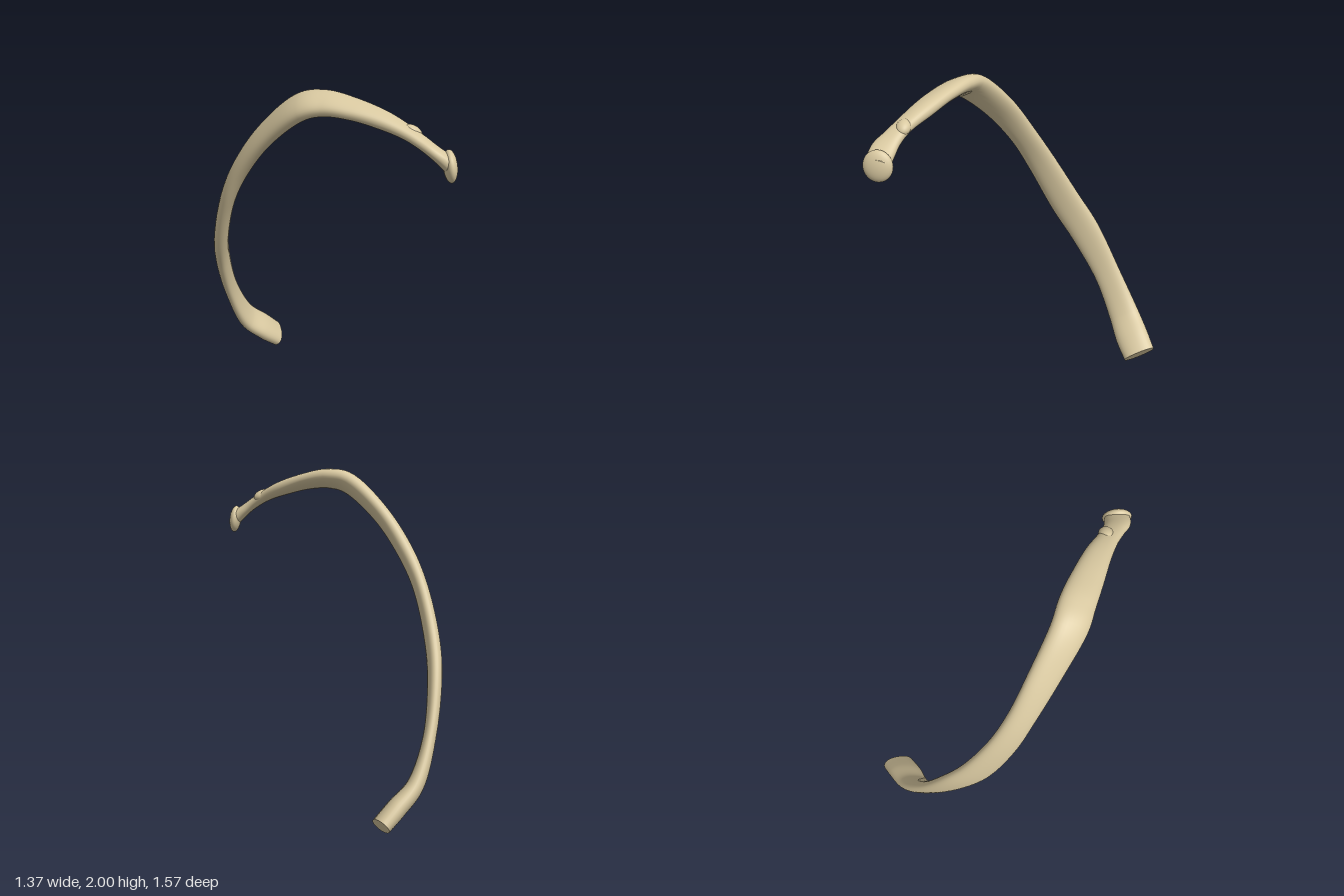
import * as THREE from 'three';

// Stations along the bone: x, y, z, half width, half thickness, rise of the width direction
const STATIONS = [
  [-0.335, 0.057, -0.69, 0.105, 0.055, 0.2],
  [-0.42, 0.14, -0.632, 0.11, 0.058, 0.3],
  [-0.525, 0.25, -0.565, 0.102, 0.05, 0.4],
  [-0.61, 0.5, -0.437, 0.09, 0.038, 0.48],
  [-0.645, 0.8, -0.268, 0.103, 0.043, 0.48],
  [-0.635, 1.0, -0.14, 0.104, 0.045, 0.48],
  [-0.568, 1.3, 0.018, 0.092, 0.044, 0.48],
  [-0.475, 1.51, 0.122, 0.085, 0.048, 0.48],
  [-0.32, 1.735, 0.245, 0.095, 0.05, 0.45],
  [-0.12, 1.913, 0.375, 0.105, 0.056, 0.4],
  [0, 1.938, 0.42, 0.102, 0.052, 0.35],
  [0.15, 1.92, 0.485, 0.09, 0.046, 0.3],
  [0.3, 1.878, 0.552, 0.075, 0.044, 0.25],
  [0.42, 1.828, 0.618, 0.06, 0.036, 0.2],
  [0.5, 1.782, 0.662, 0.062, 0.034, 0.1],
  [0.57, 1.733, 0.695, 0.074, 0.036, 0],
  [0.645, 1.675, 0.707, 0.07, 0.045, 0],
];
const RINGS = 128, SIDES = 32;

// Rounded cross-sections swept along the curve
function sectionRings() {
  const path = new THREE.CatmullRomCurve3(STATIONS.map(s => new THREE.Vector3(s[0], s[1], s[2])));
  const size = new THREE.CatmullRomCurve3(STATIONS.map(s => new THREE.Vector3(s[3], s[4], s[5])), false, 'catmullrom');
  const rings = [];
  for (let i = 0; i <= RINGS; i++) {
    const u = i / RINGS;
    const c = path.getPoint(u), t = path.getTangent(u), r = size.getPoint(u);
    const w = new THREE.Vector3(0, r.z, -1);
    w.addScaledVector(t, -w.dot(t)).normalize();
    const n = new THREE.Vector3().crossVectors(t, w);
    const ring = [];
    for (let j = 0; j < SIDES; j++) {
      const a = j / SIDES * Math.PI * 2, ca = Math.cos(a), sa = Math.sin(a);
      const p = c.clone()
        .addScaledVector(w, r.x * Math.sign(ca) * Math.abs(ca) ** 0.9)
        .addScaledVector(n, r.y * Math.sign(sa) * Math.abs(sa) ** 0.9);
      ring.push(p);
    }
    rings.push(ring);
  }
  return rings;
}

function build(points, index) {
  const g = new THREE.BufferGeometry().setFromPoints(points);
  g.setIndex(index);
  g.computeVertexNormals();
  return g;
}

export function createModel() {
  const group = new THREE.Group();
  group.name = 'ribBone';
  const bone = new THREE.MeshStandardMaterial({ color: 0xd8c8a0 });
  bone.name = 'bone';
  const add = (name, geometry) => {
    const mesh = new THREE.Mesh(geometry, bone);
    mesh.name = name;
    group.add(mesh);
    return mesh;
  };

  // Curved shaft and neck
  const rings = sectionRings(), index = [];
  for (let i = 0; i < RINGS; i++) {
    for (let j = 0; j < SIDES; j++) {
      const k = (j + 1) % SIDES;
      const a = i * SIDES + j, b = i * SIDES + k;
      index.push(a, b, a + SIDES, b, b + SIDES, a + SIDES);
    }
  }
  add('shaft', build(rings.flat(), index));

  // Flat cut face at the lower end
  const centre = new THREE.Vector3();
  rings[0].forEach(p => centre.addScaledVector(p, 1 / SIDES));
  const fan = [];
  for (let j = 0; j < SIDES; j++) fan.push(SIDES, (j + 1) % SIDES, j);
  add('lowerEndFace', build([...rings[0], centre], fan));

  // Rounded knobs at the upper end
  const knob = (name, position, radii, tilt) => {
    const mesh = add(name, new THREE.SphereGeometry(1, 32, 20));
    mesh.position.set(...position);
    mesh.scale.set(...radii);
    mesh.rotation.z = tilt;
  };
  knob('head', [0.644, 1.668, 0.706], [0.037, 0.088, 0.084], 0.12);
  knob('tubercle', [0.455, 1.828, 0.612], [0.055, 0.034, 0.042], -0.5);

  return group;
}
